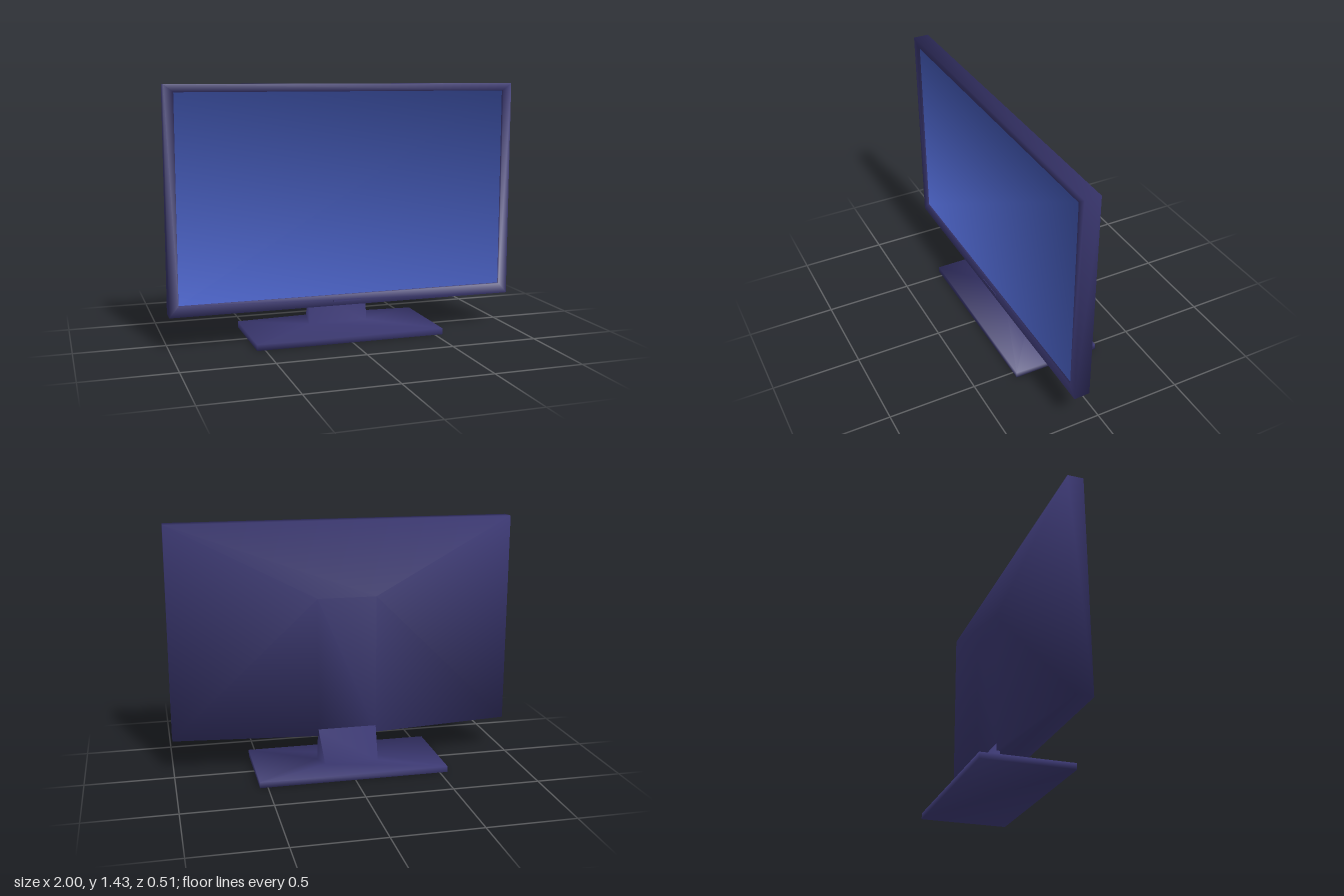
import * as THREE from 'three';
import { toCreasedNormals } from 'three/addons/utils/BufferGeometryUtils.js';

// Closed skin through four-cornered rings; group 0 is the first cap, group 1 the rest.
function loft(rings) {
  const index = [0, 1, 2, 0, 2, 3];
  for (let r = 0; r < rings.length - 1; r++) {
    for (let i = 0; i < 4; i++) {
      const j = (i + 1) % 4;
      const a = r * 4 + i, a2 = r * 4 + j, b = a + 4, b2 = a2 + 4;
      // The last side uses the other diagonal so left and right mirror
      if (i === 3) index.push(a, b, a2, b, b2, a2);
      else index.push(a, b, b2, a, b2, a2);
    }
  }
  const e = (rings.length - 1) * 4;
  index.push(e, e + 2, e + 1, e, e + 3, e + 2);
  const geo = new THREE.BufferGeometry();
  geo.setAttribute('position', new THREE.Float32BufferAttribute(rings.flat(2), 3));
  geo.setIndex(index);
  geo.addGroup(0, 6, 0);
  geo.addGroup(6, index.length - 6, 1);
  return toCreasedNormals(geo, 1.8);
}

// Upright ring facing +z
const upright = (x, y0, y1, z) => [[-x, y0, z], [x, y0, z], [x, y1, z], [-x, y1, z]];

// Lying ring with its own width, height and depth at front and back
const lying = ([xf, yf, zf], [xb, yb, zb]) => [[-xf, yf, zf], [xf, yf, zf], [xb, yb, zb], [-xb, yb, zb]];

export function createModel() {
  const model = new THREE.Group();
  model.name = 'monitor';
  const casing = new THREE.MeshStandardMaterial({ color: 0x3a3770 });
  casing.name = 'indigo casing';
  const screen = new THREE.MeshStandardMaterial({ color: 0x485fc0 });
  screen.name = 'blue screen';

  const add = (name, geo, material) => {
    const mesh = new THREE.Mesh(geo, material);
    mesh.name = name;
    model.add(mesh);
    return mesh;
  };

  // Display: recessed screen, bezel, rim and tapered back
  add('display', loft([
    upright(0.947, 0.253, 1.39, 0.143),
    upright(0.95, 0.25, 1.393, 0.155),
    upright(1, 0.192, 1.432, 0.155),
    upright(1, 0.195, 1.432, 0.065),
    upright(0.17, 0.2, 1.01, -0.04),
  ]), [screen, casing]);

  // Stand: neck flowing into a sloped foot
  add('stand', loft([
    lying([0.17, 0.24, -0.022], [0.17, 0.24, -0.041]),
    lying([0.175, 0.05, -0.016], [0.155, 0.07, -0.155]),
    lying([0.545, 0.035, 0.257], [0.545, 0.035, -0.257]),
    lying([0.545, 0, 0.257], [0.545, 0, -0.257]),
  ]), [casing, casing]);

  // Slim bar on the lower bezel
  const bar = add('bezelBar', new THREE.BoxGeometry(0.165, 0.011, 0.006), casing);
  bar.position.set(0, 0.22, 0.155);

  return model;
}
